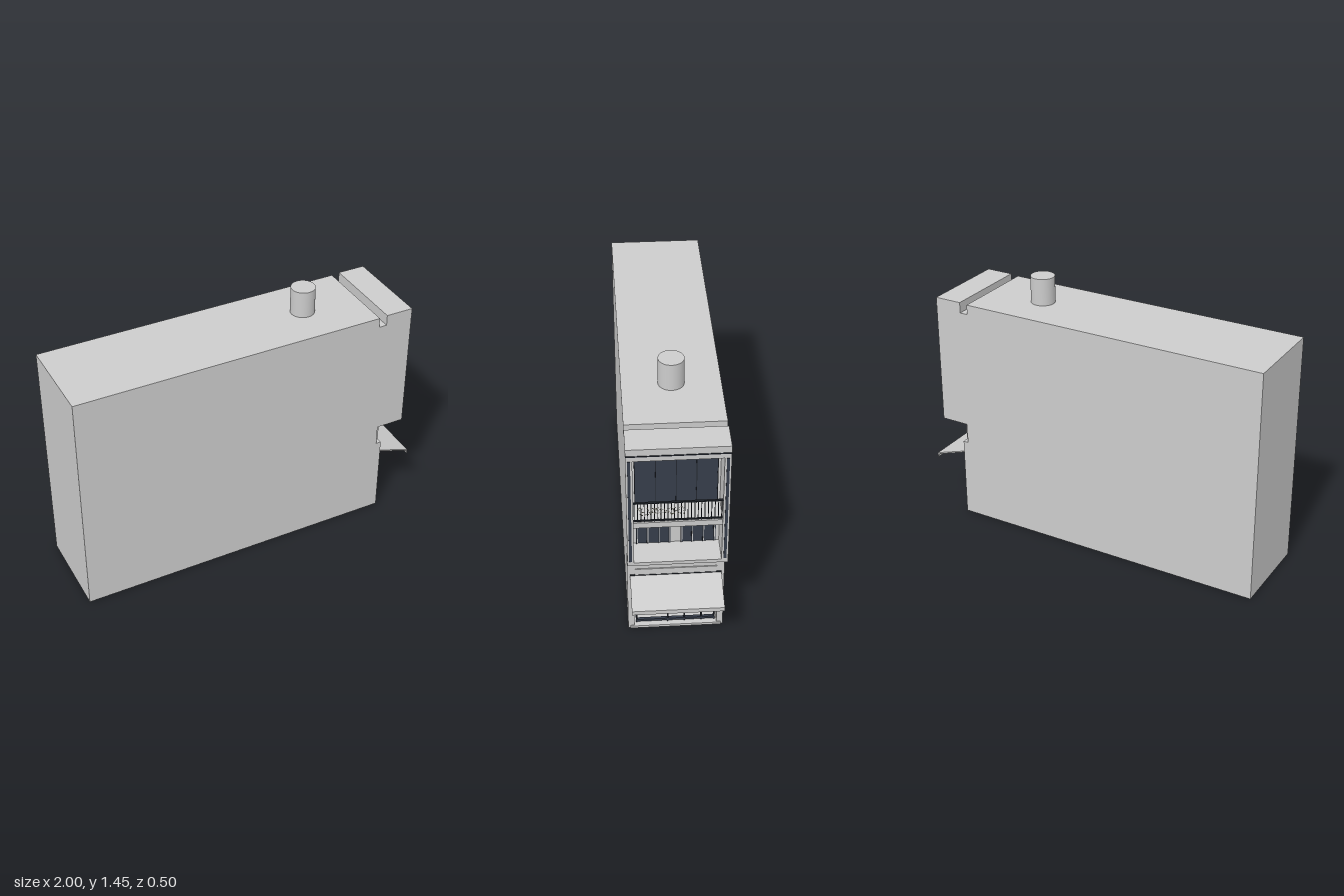
import * as THREE from 'three';

export function createModel() {
  const model = new THREE.Group();
  model.name = 'townhouse';
  const mat = (name, color) => {
    const m = new THREE.MeshStandardMaterial({ color });
    m.name = name;
    return m;
  };
  const plaster = mat('plaster', 0xcccccc);
  const slate = mat('slate glass', 0x363d4a);
  const metal = mat('dark metal', 0x23272f);
  const blossom = mat('pale blossom', 0xb9b49c);

  const add = (name, geometry, material, parent = model) => {
    const mesh = new THREE.Mesh(geometry, material);
    mesh.name = name;
    parent.add(mesh);
    return mesh;
  };
  // Box given by its limits on each axis
  const box = (name, material, x0, x1, y0, y1, z0, z1, parent = model) => {
    const g = new THREE.BoxGeometry(x1 - x0, y1 - y0, z1 - z0);
    g.translate((x0 + x1) / 2, (y0 + y1) / 2, (z0 + z1) / 2);
    return add(name, g, material, parent);
  };
  // Side profile (x, y) extruded from z0 to z1
  const slice = (name, material, points, z0, z1) => {
    const shape = new THREE.Shape(points.map(([x, y]) => new THREE.Vector2(x, y)));
    const g = new THREE.ExtrudeGeometry(shape, { depth: z1 - z0, bevelEnabled: false });
    g.translate(0, 0, z0);
    return add(name, g, material);
  };

  // Side walls, with the roof gap and the rebate under the overhang
  const roof = [[0.93, 1.305], [0.775, 1.305], [0.775, 1.245], [0.73, 1.245], [0.73, 1.3], [-1, 1.3]];
  const sideProfile = [[-1, 0], [0.8, 0], [0.8, 0.455], [0.77, 0.455], [0.77, 0.57], [0.93, 0.57], ...roof];
  const W = 0.217;
  slice('leftSideWall', plaster, sideProfile, W, 0.25);
  slice('rightSideWall', plaster, sideProfile, -0.25, -W);

  // Core with the shop interior and the balcony recess carved out
  slice('houseCore', plaster, [
    [-1, 0], [0.8, 0], [0.8, 0.012], [0.5, 0.012], [0.5, 0.34], [0.8, 0.34], [0.8, 0.57],
    [0.93, 0.57], [0.93, 0.59], [0.785, 0.59], [0.785, 1.235], [0.93, 1.235], ...roof,
  ], -W, W);

  // Roof tank
  const tank = add('roofTank', new THREE.CylinderGeometry(0.066, 0.066, 0.15, 40), plaster);
  tank.position.set(0.402, 1.375, 0);

  // Front trim
  box('parapetLine', metal, 0.93, 0.933, 1.262, 1.268, -0.25, 0.25);
  for (const s of [-1, 1]) {
    box('sideStrip', slate, 0.93, 0.934, 0.6, 1.235, s * 0.234 - 0.007, s * 0.234 + 0.007);
  }
  box('doorStep', plaster, 0.8, 0.806, 0, 0.015, -0.24, 0.24);
  box('awningBoard', plaster, 0.8, 0.805, 0.385, 0.425, -0.21, 0.21);
  box('awningFlashing', metal, 0.8, 0.807, 0.383, 0.387, -0.235, 0.235);

  // Sloping awning with a front lip
  slice('awning', plaster, [
    [0.8, 0.378], [0.995, 0.313], [0.995, 0.295], [1, 0.295], [1, 0.32], [0.8, 0.385],
  ], -0.235, 0.235);

  // Shop doors: posts, rails and pull handles
  const shop = new THREE.Group();
  shop.name = 'shopDoors';
  model.add(shop);
  for (const z of [0.205, 0.04, -0.048, -0.138, -0.205]) {
    box('doorPost', metal, 0.765, 0.777, 0.012, 0.34, z - 0.004, z + 0.004, shop);
  }
  box('bottomRail', slate, 0.763, 0.779, 0.02, 0.034, -0.208, 0.208, shop);
  box('transom', metal, 0.763, 0.779, 0.283, 0.291, -0.208, 0.208, shop);
  box('topRail', metal, 0.763, 0.779, 0.332, 0.34, -0.208, 0.208, shop);
  for (const z of [-0.04, -0.057]) {
    box('doorHandle', metal, 0.779, 0.787, 0.095, 0.17, z - 0.0025, z + 0.0025, shop);
  }

  // Middle floor windows with pale mullions
  for (const s of [-1, 1]) {
    const windowGroup = new THREE.Group();
    windowGroup.name = 'middleWindow';
    model.add(windowGroup);
    const c = s * 0.112;
    box('pane', slate, 0.785, 0.79, 0.592, 0.772, c - 0.088, c + 0.088, windowGroup);
    box('windowHead', plaster, 0.79, 0.792, 0.719, 0.723, c - 0.082, c + 0.082, windowGroup);
    for (const d of [-0.082, -0.028, 0.028, 0.082]) {
      box('mullion', plaster, 0.79, 0.792, 0.592, 0.72, c + d - 0.002, c + d + 0.002, windowGroup);
      box('sash', metal, 0.79, 0.794, 0.592, 0.72, c + d + 0.003, c + d + 0.007, windowGroup);
    }
  }
  box('windowLedge', plaster, 0.785, 0.86, 0.782, 0.815, -0.215, 0.215);
  box('ledgeEdge', metal, 0.785, 0.862, 0.775, 0.781, -0.215, 0.215);

  // Balcony slab and the large window behind it
  box('balconySlab', plaster, 0.785, 0.925, 0.815, 0.848, -W, W);
  box('balconyWindow', slate, 0.785, 0.79, 0.85, 1.163, -0.205, 0.205);
  for (const z of [-0.203, -0.1, 0, 0.1, 0.203]) {
    box('windowFrame', metal, 0.79, 0.793, 0.85, 1.163, z - 0.002, z + 0.002);
  }
  for (const z of [-0.15, 0, 0.15]) {
    const lamp = add('ceilingLamp', new THREE.CylinderGeometry(0.009, 0.009, 0.004, 16), metal);
    lamp.position.set(0.86, 1.233, z);
  }

  // Balcony railing
  const railing = new THREE.Group();
  railing.name = 'railing';
  model.add(railing);
  box('handRail', metal, 0.912, 0.922, 0.964, 0.971, -W, W, railing);
  box('lowerRail', metal, 0.913, 0.921, 0.853, 0.859, -W, W, railing);
  for (let i = 0; i <= 26; i++) {
    const z = -0.212 + i * 0.0163;
    box('baluster', metal, 0.915, 0.919, 0.85, 0.966, z - 0.002, z + 0.002, railing);
  }

  // Small blossoms scattered along one half of the railing
  let seed = 7;
  const rand = () => (seed = (seed * 16807) % 2147483647) / 2147483647;
  for (let i = 0; i < 110; i++) {
    const flower = add('blossom', new THREE.OctahedronGeometry(0.0025 + rand() * 0.0015), blossom, railing);
    flower.position.set(0.921 + rand() * 0.004, 0.895 + rand() * 0.048, -0.03 + rand() * 0.225);
  }
  return model;
}
